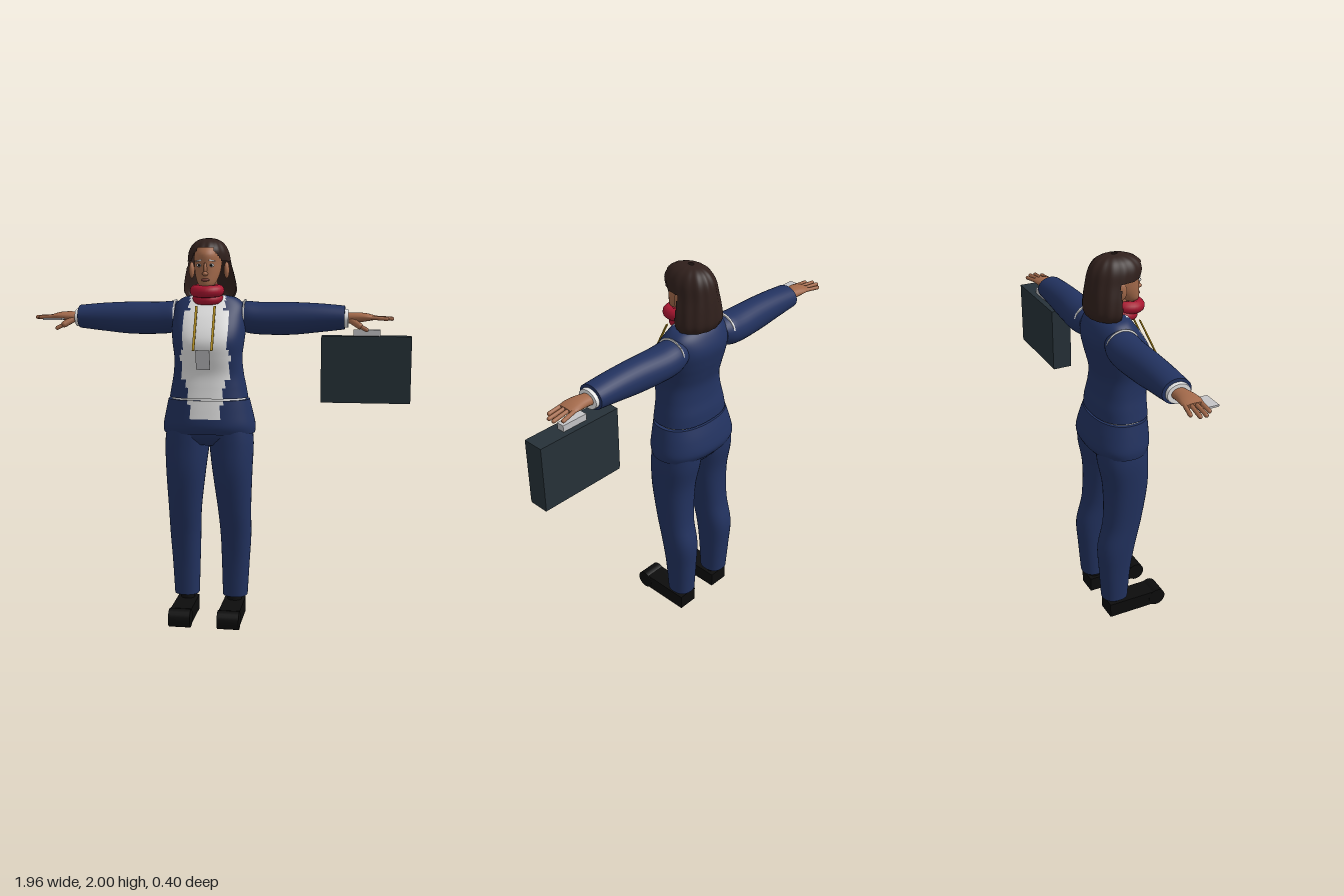
import * as THREE from 'three';

const mat = (name, color, side = THREE.FrontSide) => {
  const m = new THREE.MeshStandardMaterial({ color, side });
  m.name = name;
  return m;
};

// Smooth interpolation of cross-section rows
const spline = (a, b, c, d, t) =>
  b + 0.5 * t * (c - a + t * (2 * a - 5 * b + 4 * c - d + t * (3 * (b - c) + d - a)));

// Skin over rings [t, centreU, centreV, radiusU, radiusV].
// axis 'y': u = x, v = z.  axis 'x': u = z, v = y.
// pick(x, y, z) gives the material index of a quad, or -1 to leave it out.
function loft(rings, { axis = 'y', seg = 32, sub = 5, n = 2, pick = () => 0, caps = true, ripple = 0 } = {}) {
  const r = [...rings].sort((a, b) => a[0] - b[0]);
  const rows = [];
  for (let i = 0; i < r.length - 1; i++)
    for (let k = 0; k < sub; k++)
      rows.push(r[i].map((v, q) => spline(r[Math.max(i - 1, 0)][q], v, r[i + 1][q], r[Math.min(i + 2, r.length - 1)][q], k / sub)));
  rows.push(r[r.length - 1]);
  const pos = [], lists = [[], []];
  const put = (t, u, v) => (axis === 'y' ? pos.push(u, t, v) : pos.push(t, v, u));
  const pw = (v) => Math.sign(v) * Math.abs(v) ** (2 / n);
  const ring = ([t, cu, cv, ru, rv]) => {
    for (let j = 0; j < seg; j++) {
      const a = (j / seg) * Math.PI * 2, w = 1 + ripple * Math.cos(a * 14);
      put(t, cu + ru * w * pw(Math.cos(a)), cv + rv * w * pw(Math.sin(a)));
    }
  };
  rows.forEach(ring);
  for (let i = 0; i < rows.length - 1; i++)
    for (let j = 0; j < seg; j++) {
      const a = i * seg + j, b = i * seg + (j + 1) % seg, c = a + seg, d = b + seg;
      const mid = [0, 1, 2].map((q) => (pos[a * 3 + q] + pos[b * 3 + q] + pos[c * 3 + q] + pos[d * 3 + q]) / 4);
      const m = pick(...mid);
      if (m >= 0) lists[m].push(a, c, b, b, c, d);
    }
  if (caps)
    [rows[0], rows[rows.length - 1]].forEach((row, e) => {
      const s = pos.length / 3;
      ring(row);
      put(row[0], row[1], row[2]);
      for (let j = 0; j < seg; j++) {
        const p = s + j, q = s + (j + 1) % seg;
        lists[0].push(s + seg, e ? q : p, e ? p : q);
      }
    });
  const g = new THREE.BufferGeometry();
  g.setAttribute('position', new THREE.Float32BufferAttribute(pos, 3));
  g.setIndex(lists.flat());
  if (lists[1].length) {
    g.addGroup(0, lists[0].length, 0);
    g.addGroup(lists[0].length, lists[1].length, 1);
  }
  g.computeVertexNormals();
  return g;
}

// Ring from half width and front/back depth
const fb = (y, half, front, back, x = 0) => [y, x, (front + back) / 2, half, (front - back) / 2];

export function createModel() {
  const navy = mat('navy cloth', 0x22325f), white = mat('white cloth', 0xe4e4e4), skin = mat('skin', 0xa2694a);
  const hairM = mat('dark brown hair', 0x30201c, THREE.DoubleSide), red = mat('red scarf', 0xa81630);
  const black = mat('black leather', 0x0c0c0c), gold = mat('gold', 0xb8921f), silver = mat('silver', 0xc4c4c6);
  const slate = mat('slate', 0x263138), lip = mat('lips', 0x7c4238);

  const model = new THREE.Group();
  const body = new THREE.Group();
  body.name = 'body';
  body.position.x = -0.045;
  model.add(body);
  const add = (name, geo, m, p = [0, 0, 0], parent = body) => {
    const o = new THREE.Mesh(geo, m);
    o.name = name;
    o.position.set(...p);
    parent.add(o);
    return o;
  };
  const box = (name, m, x, y, z, p, parent) => add(name, new THREE.BoxGeometry(x, y, z), m, p, parent);
  const ball = (name, m, x, y, z, p) => add(name, new THREE.SphereGeometry(1, 16, 12), m, p).scale.set(x, y, z);
  const limb = (name, m, a, b, r) => {
    const A = new THREE.Vector3(...a), B = new THREE.Vector3(...b), d = B.clone().sub(A);
    const o = add(name, new THREE.CapsuleGeometry(r, d.length(), 4, 10), m, A.add(B).multiplyScalar(0.5).toArray());
    o.quaternion.setFromUnitVectors(new THREE.Vector3(0, 1, 0), d.normalize());
  };

  // Jacket, with the shirt showing through its ragged front opening
  const shirtHalf = (y) => (y > 1.64 ? 0.09 : y > 1.43 ? 0.115 : y > 1.29 ? 0.125 : y > 1.17 ? 0.095 : 0.07);
  const front = (x, y, z) => (z > 0 && y > 1.085 && Math.abs(x) < shirtHalf(y) ? 1 : 0);
  add('jacket', loft([
    fb(1.195, 0.203, 0.125, -0.155), fb(1.25, 0.193, 0.122, -0.15), fb(1.32, 0.18, 0.122, -0.135),
    fb(1.4, 0.174, 0.142, -0.13), fb(1.47, 0.182, 0.155, -0.145), fb(1.53, 0.188, 0.14, -0.16),
    fb(1.6, 0.188, 0.102, -0.17), fb(1.66, 0.18, 0.058, -0.15), fb(1.7, 0.14, 0.03, -0.12), fb(1.715, 0.08, 0.02, -0.08),
  ], { seg: 64, n: 2.4, pick: front }), [navy, white]);
  add('jacketSkirt', loft([
    fb(1.01, 0.238, 0.115, -0.18), fb(1.05, 0.24, 0.13, -0.195), fb(1.12, 0.226, 0.127, -0.18), fb(1.185, 0.211, 0.122, -0.157),
  ], { seg: 64, n: 2.3, pick: front }), [navy, white]);
  add('undershirt', loft([fb(1.16, 0.196, 0.115, -0.145), fb(1.22, 0.19, 0.112, -0.143)], { n: 2.3 }), white);
  add('hips', loft([fb(0.95, 0.1, 0.07, -0.13), fb(0.99, 0.19, 0.1, -0.16), fb(1.05, 0.225, 0.11, -0.17)], { n: 2.3 }), navy);

  for (const s of [1, -1]) {
    const side = s > 0 ? 'left' : 'right';
    // Trouser leg: y, inner x, outer x, front z, back z
    add(side + 'TrouserLeg', loft([
      [1.04, 0, 0.222, 0.1, -0.165], [0.95, 0.002, 0.231, 0.1, -0.16], [0.8, 0.02, 0.226, 0.095, -0.135],
      [0.6, 0.045, 0.218, 0.06, -0.14], [0.45, 0.055, 0.216, 0.025, -0.175], [0.3, 0.06, 0.207, 0, -0.168],
      [0.12, 0.065, 0.197, -0.015, -0.155],
    ].map(([y, i, o, f, b]) => fb(y, (o - i) / 2, f, b, s * (i + o) / 2)), { n: 2.3 }), navy);
    // Shoe with a round toe roll
    add(side + 'Ankle', new THREE.CylinderGeometry(0.035, 0.04, 0.08, 16), black, [s * 0.127, 0.1, -0.085]);
    box(side + 'Shoe', black, 0.11, 0.08, 0.285, [s * 0.127, 0.051, 0.012]);
    add(side + 'ShoeToe', new THREE.CylinderGeometry(0.048, 0.048, 0.113, 20), black, [s * 0.127, 0.05, 0.153]).rotation.z = Math.PI / 2;

    // Sleeve and cuff
    const along = (rows, o) => loft(rows.map(([x, ...q]) => [s * x, ...q]), { axis: 'x', ...o });
    add(side + 'Sleeve', along([
      [0.14, -0.065, 1.61, 0.075, 0.065], [0.19, -0.066, 1.603, 0.088, 0.081], [0.27, -0.066, 1.596, 0.089, 0.083],
      [0.42, -0.062, 1.596, 0.082, 0.083], [0.56, -0.06, 1.6, 0.077, 0.073], [0.69, -0.06, 1.602, 0.073, 0.06],
    ]), navy);
    add(side + 'Cuff', along([[0.66, -0.058, 1.6, 0.06, 0.05], [0.708, -0.058, 1.597, 0.058, 0.046]]), white);
    add(side + 'ShoulderSeam', along([[0.176, -0.064, 1.612, 0.085, 0.079], [0.184, -0.064, 1.612, 0.087, 0.082]]), white);
    // Hand
    add(side + 'Palm', along([
      [0.69, -0.06, 1.598, 0.036, 0.027], [0.75, -0.055, 1.602, 0.044, 0.026], [0.8, -0.056, 1.604, 0.051, 0.02], [0.838, -0.058, 1.602, 0.046, 0.012],
    ], { seg: 20 }), skin);
    [[-0.096, -0.112, 0.895], [-0.07, -0.083, 0.925], [-0.045, -0.054, 0.926], [-0.02, -0.024, 0.9]].forEach(([z0, z1, x], i) =>
      limb(side + 'Finger' + (i + 1), skin, [s * 0.82, 1.603, z0], [s * x, 1.597, z1], 0.01));
    limb(side + 'ThumbBase', skin, [s * 0.72, 1.59, -0.035], [s * 0.765, 1.562, -0.005], 0.017);
    limb(side + 'Thumb', skin, [s * 0.765, 1.562, -0.005], [s * 0.8, 1.543, 0.005], 0.011);

    // Face details
    ball(side + 'Ear', skin, 0.014, 0.042, 0.024, [s * 0.09, 1.84, -0.022]);
    ball(side + 'Eye', white, 0.015, 0.008, 0.008, [s * 0.03, 1.862, 0.097]);
    ball(side + 'Pupil', black, 0.006, 0.006, 0.004, [s * 0.03, 1.862, 0.104]);
    const brow = box(side + 'Brow', silver, 0.034, 0.006, 0.008, [s * 0.033, 1.885, 0.098]);
    brow.rotation.set(0, s * 0.4, s * -0.15);
    // Lanyard strap
    box(side + 'LanyardStrap', gold, 0.012, 0.24, 0.006, [s * 0.046, 1.552, 0.148]).rotation.x = -0.454;
  }

  // Head
  add('neck', new THREE.CylinderGeometry(0.045, 0.055, 0.16, 20), skin, [0, 1.72, -0.005]);
  add('head', loft([
    [1.752, 0, 0.075, 0.022, 0.026], [1.772, 0, 0.058, 0.044, 0.05], [1.82, 0, 0.03, 0.062, 0.077],
    [1.87, 0, 0.008, 0.069, 0.1], [1.92, 0, 0, 0.07, 0.108], [1.965, 0, -0.01, 0.05, 0.08],
  ]), skin);
  ball('noseBridge', skin, 0.009, 0.032, 0.014, [0, 1.845, 0.104]);
  ball('noseTip', skin, 0.015, 0.011, 0.017, [0, 1.82, 0.11]);
  ball('lips', lip, 0.022, 0.008, 0.01, [0, 1.79, 0.104]);

  // Shoulder-length hair, left open around the face and ears
  add('hair', loft([
    [1.705, 0, -0.07, 0.122, 0.088], [1.74, 0, -0.058, 0.136, 0.114], [1.8, 0, -0.048, 0.128, 0.122],
    [1.87, 0, -0.03, 0.112, 0.132], [1.93, 0, -0.015, 0.101, 0.134], [1.97, 0, -0.015, 0.079, 0.108],
    [1.992, 0, -0.02, 0.047, 0.066], [2, 0, -0.02, 0.012, 0.016],
  ], {
    seg: 84, ripple: 0.018, caps: false,
    pick: (x, y, z) => ((y < 1.885 && z > -0.04) || (y < 1.945 && z > 0.05 && Math.abs(x) < 0.075 - (y - 1.885) * 0.6) ? -1 : 0),
  }), hairM);

  // Scarf
  const ringGeo = (R, t) => new THREE.TorusGeometry(R, t, 12, 32).rotateX(Math.PI / 2);
  add('scarf', ringGeo(0.058, 0.03), red, [0, 1.737, 0.047]).rotation.x = 0.1;
  add('scarfLowerFold', ringGeo(0.052, 0.026), red, [0, 1.7, 0.02]).rotation.x = 0.2;

  // Badge on the lanyard
  box('badge', silver, 0.07, 0.1, 0.006, [0, 1.397, 0.187]).rotation.x = 0.257;
  // Phone under the right hand
  box('phone', silver, 0.1, 0.009, 0.055, [-0.815, 1.59, 0.018]);

  // Briefcase
  box('briefcase', slate, 0.45, 0.325, 0.105, [0.755, 1.3475, -0.0525], model);
  box('briefcaseBase', slate, 0.45, 0.012, 0.1, [0.755, 1.179, -0.0525], model);
  box('briefcaseHandle', silver, 0.135, 0.032, 0.04, [0.757, 1.526, -0.055], model);

  return model;
}
